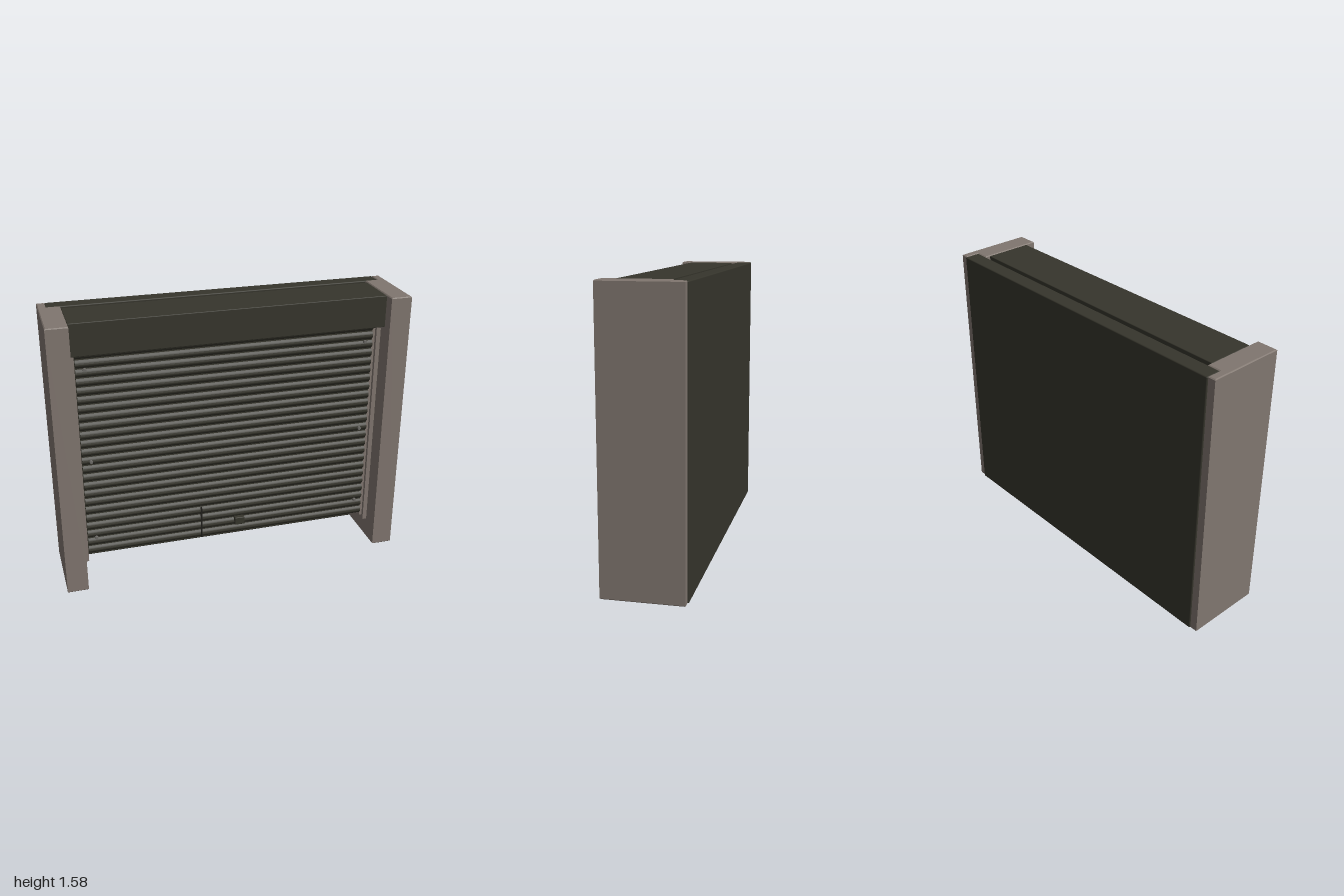
import * as THREE from 'three';
import { toCreasedNormals } from 'three/addons/utils/BufferGeometryUtils.js';
import { RoundedBoxGeometry } from 'three/addons/geometries/RoundedBoxGeometry.js';

const mat = (name, color) => new THREE.MeshStandardMaterial({ name, color });

export function createModel() {
  const group = new THREE.Group();
  const dark = mat('dark shutter metal', 0x36352c);
  const stone = mat('warm grey frame', 0x80766f);
  const seamMat = mat('seam black', 0x1f1e1a);
  const steel = mat('screw grey', 0x6c6a66);

  const add = (name, geo, material, x = 0, y = 0, z = 0) => {
    const m = new THREE.Mesh(geo, material);
    m.name = name;
    m.position.set(x, y, z);
    group.add(m);
    return m;
  };
  // Box from its two extreme corners, with softened edges
  const box = (name, material, [x0, y0, z0], [x1, y1, z1], r = 0.004) =>
    add(name, new RoundedBoxGeometry(x1 - x0, y1 - y0, z1 - z0, 1, r), material,
      (x0 + x1) / 2, (y0 + y1) / 2, (z0 + z1) / 2);
  const polygon = (pts) => new THREE.Shape(pts.map(([x, y]) => new THREE.Vector2(x, y)));

  // Back panel and shutter housing
  box('backPanel', dark, [-0.957, 0.002, -0.228], [0.957, 1.578, -0.139], 0.006);
  box('lintel', dark, [-0.88, 1.395, -0.11], [0.88, 1.577, 0.16], 0.004);

  const b = 0.005;
  for (const s of [-1, 1]) {
    const side = s > 0 ? 'left' : 'right';

    // Side post, notched at the back to hold the panel
    const post = polygon([
      [0.88 + b, -0.22 + b], [1 - b, -0.22 + b], [1 - b, 0.22 - b],
      [0.955 + b, 0.22 - b], [0.955 + b, 0.14 - b], [0.88 + b, 0.14 - b],
    ].map(([x, y]) => [s * x, y]));
    const postGeo = new THREE.ExtrudeGeometry(post, {
      depth: 1.58 - 2 * b, bevelEnabled: true, bevelThickness: b, bevelSize: b, bevelSegments: 1,
    });
    postGeo.rotateX(-Math.PI / 2);
    add(side + 'Post', postGeo, stone, 0, b, 0);

    // U-shaped guide channel, opening toward the curtain
    const rail = polygon([
      [0.885, -0.11], [0.855, -0.11], [0.855, -0.095], [0.872, -0.095],
      [0.872, -0.055], [0.855, -0.055], [0.855, -0.04], [0.885, -0.04],
    ].map(([x, y]) => [s * x, y]));
    const railGeo = new THREE.ExtrudeGeometry(rail, { depth: 1.28, bevelEnabled: false });
    railGeo.rotateX(-Math.PI / 2);
    add(side + 'GuideRail', railGeo, stone, 0, 0.12, 0);

    // Screws in the curtain
    for (const y of [0.255, 0.745, 1.29]) {
      const screw = add(side + 'Screw', new THREE.CylinderGeometry(0.009, 0.011, 0.012, 10),
        steel, s * 0.8, y, 0.087);
      screw.rotation.x = Math.PI / 2;
    }
  }

  // Curved slat section, extruded across the opening
  const count = 24, pitch = 0.0522, height = 0.045, width = 1.696;
  const arc = (offset, n = 6) => Array.from({ length: n + 1 }, (_, i) => {
    const t = i / n;
    return [-(0.07 + offset + 0.014 * Math.sin(Math.PI * t)), t * height];
  });
  const slatGeo = toCreasedNormals(new THREE.ExtrudeGeometry(
    polygon([...arc(0), ...arc(-0.008).reverse()]), { depth: width, bevelEnabled: false }), 0.6);
  slatGeo.rotateY(Math.PI / 2);
  const hingeGeo = new THREE.BoxGeometry(width, pitch - height + 0.004, 0.006);
  for (let i = 0; i < count; i++) {
    const y = 0.15 + i * pitch;
    add('slat', slatGeo, dark, -width / 2, y, 0);
    if (i) add('slatHinge', hingeGeo, dark, 0, y - (pitch - height) / 2, 0.063);
  }

  // Upright seam and pull handle near the bottom
  add('seam', new THREE.BoxGeometry(0.008, 0.205, 0.008), seamMat, -0.175, 0.2525, 0.082);
  box('handle', dark, [0.027, 0.21, 0.066], [0.087, 0.258, 0.102], 0.004);

  return group;
}
